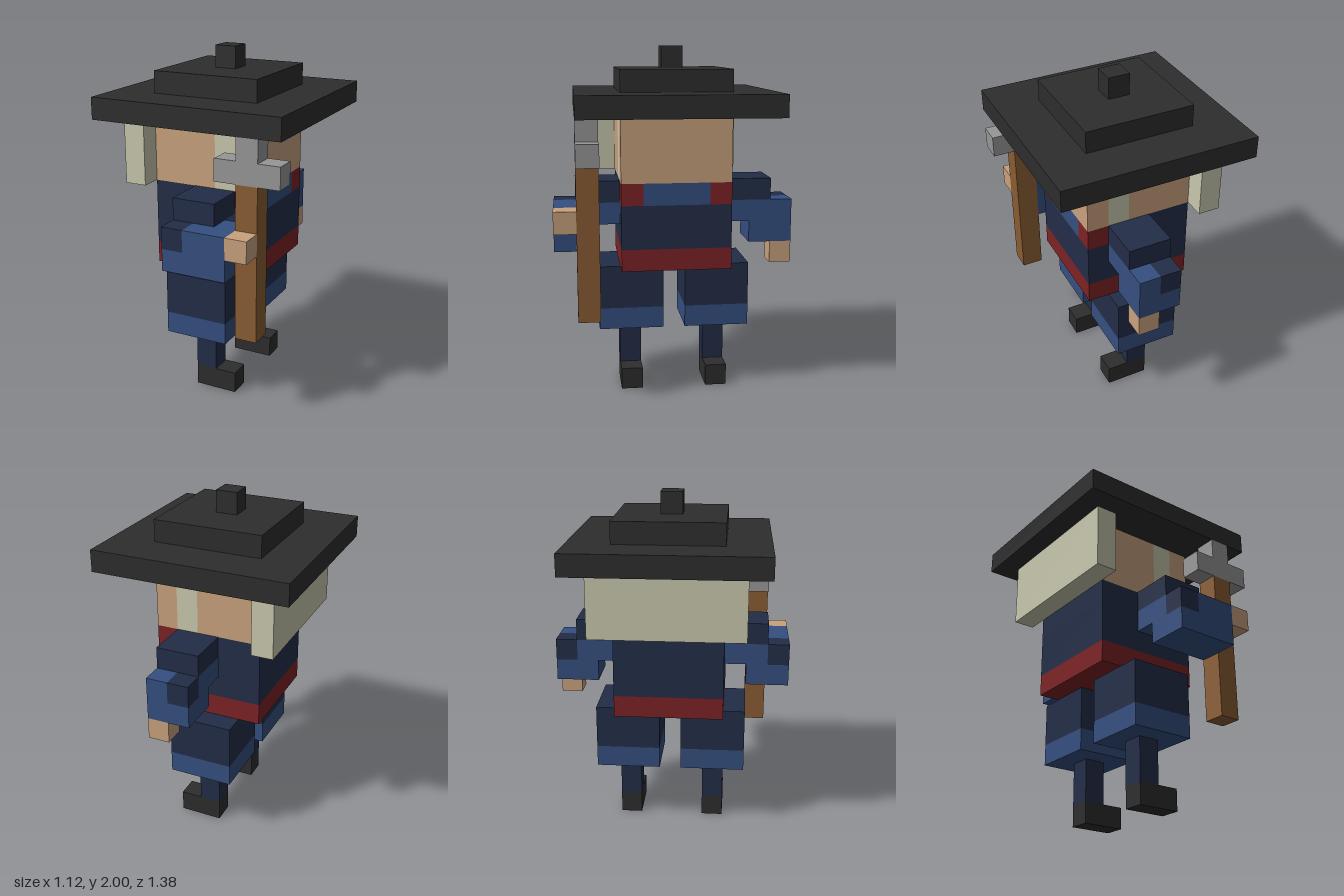
import * as THREE from 'three';

const U = 0.125; // one block

const mat = (name, color) => {
  const m = new THREE.MeshStandardMaterial({ color });
  m.name = name;
  return m;
};

export function createModel() {
  const black = mat('black', 0x2d2d2d);
  const skin = mat('skin', 0xc9a27e);
  const hair = mat('paleHair', 0xc8c8ae);
  const grey = mat('steelGrey', 0x989798);
  const wood = mat('woodBrown', 0x8a5d33);
  const navy = mat('navy', 0x222d47);
  const blue = mat('blue', 0x354f80);
  const red = mat('red', 0x7d2225);

  const model = new THREE.Group();
  model.name = 'blockFigure';

  const group = (name) => {
    const g = new THREE.Group();
    g.name = name;
    model.add(g);
    return g;
  };

  // Box between block limits; x and z count from the half block left of centre
  const block = (parent, name, material, [x0, x1], [y0, y1], [z0, z1]) => {
    const mesh = new THREE.Mesh(
      new THREE.BoxGeometry((x1 - x0) * U, (y1 - y0) * U, (z1 - z0) * U), material);
    mesh.position.set(((x0 + x1) / 2) * U, ((y0 + y1) / 2) * U, ((z0 + z1) / 2) * U);
    mesh.name = name;
    parent.add(mesh);
  };

  // Stepped hat
  const hat = group('hat');
  block(hat, 'hatBrim', black, [-4.5, 4.5], [13, 14], [-4.5, 4.5]);
  block(hat, 'hatCrown', black, [-2.5, 2.5], [14, 15], [-2.5, 2.5]);
  block(hat, 'hatKnob', black, [-0.5, 0.5], [15, 16], [-0.5, 0.5]);

  // Head with sideburns and a wide block of hair behind
  const head = group('head');
  block(head, 'headBack', skin, [-2.5, 0.5], [10, 13], [-2.5, 2.5]);
  block(head, 'headMiddle', skin, [0.5, 1.5], [10, 13], [-1.5, 1.5]);
  block(head, 'face', skin, [1.5, 2.5], [10, 13], [-2.5, 2.5]);
  block(head, 'backHair', hair, [-3.5, -2.5], [10, 13], [-3.5, 3.5]);
  for (const z of [-2.5, 1.5]) block(head, 'sideburn', hair, [0.5, 1.5], [10, 13], [z, z + 1]);

  // Torso with belt and red lapels around a blue collar
  const torso = group('torso');
  block(torso, 'belt', red, [-2.5, 2.5], [6, 7], [-2.5, 2.5]);
  block(torso, 'jacket', navy, [-2.5, 2.5], [7, 9], [-2.5, 2.5]);
  block(torso, 'shoulders', navy, [-2.5, 1.5], [9, 10], [-2.5, 2.5]);
  block(torso, 'collar', blue, [1.5, 2.5], [9, 10], [-1.5, 1.5]);
  for (const z of [-2.5, 1.5]) block(torso, 'lapel', red, [1.5, 2.5], [9, 10], [z, z + 1]);

  // Parts mirrored on both sides
  for (const s of [-1, 1]) {
    const side = (a, b) => (s > 0 ? [a, b] : [-b, -a]);

    const leg = group('leg');
    block(leg, 'trouserLeg', navy, [-1.5, 1.5], [4, 6], side(0.5, 3.5));
    block(leg, 'trouserCuff', blue, [-1.5, 1.5], [3, 4], side(0.5, 3.5));
    block(leg, 'shin', navy, [-0.5, 0.5], [1, 3], side(1.5, 2.5));
    block(leg, 'boot', black, [-0.5, 1.5], [0, 1], side(1.5, 2.5));

    // The arm at +z reaches forward; the other hangs down
    const reach = s > 0 ? 2.5 : 1.5;
    const arm = group('arm');
    block(arm, 'shoulder', navy, [-0.5, 1.5], [9, 10], side(2.5, 4.5));
    block(arm, 'upperSleeve', blue, [-0.5, 1.5], [8, 9], side(2.5, 3.5));
    block(arm, 'innerSleeve', blue, [-0.5, reach], [8, 9], side(3.5, 4.5));
    block(arm, 'outerSleeve', blue, [0.5, reach], [8, 9], side(4.5, 5.5));
    block(arm, 'elbowPatch', navy, [-0.5, 0.5], [8, 9], side(4.5, 5.5));
    block(arm, 'lowerSleeve', blue, [-0.5, reach], [7, 8], side(3.5, 5.5));
    if (s > 0) block(arm, 'hand', skin, [2.5, 3.5], [8, 9], side(4.5, 5.5));
    else block(arm, 'hand', skin, [0.5, 1.5], [6, 7], side(4.5, 5.5));
  }

  // Walking staff with a metal cross head
  const staff = group('staff');
  block(staff, 'staffShaft', wood, [2.5, 3.5], [4, 11], [3.5, 4.5]);
  block(staff, 'staffCrossbar', grey, [1.5, 4.5], [11, 12], [3.5, 4.5]);
  block(staff, 'staffTip', grey, [2.5, 3.5], [12, 13], [3.5, 4.5]);

  return model;
}
